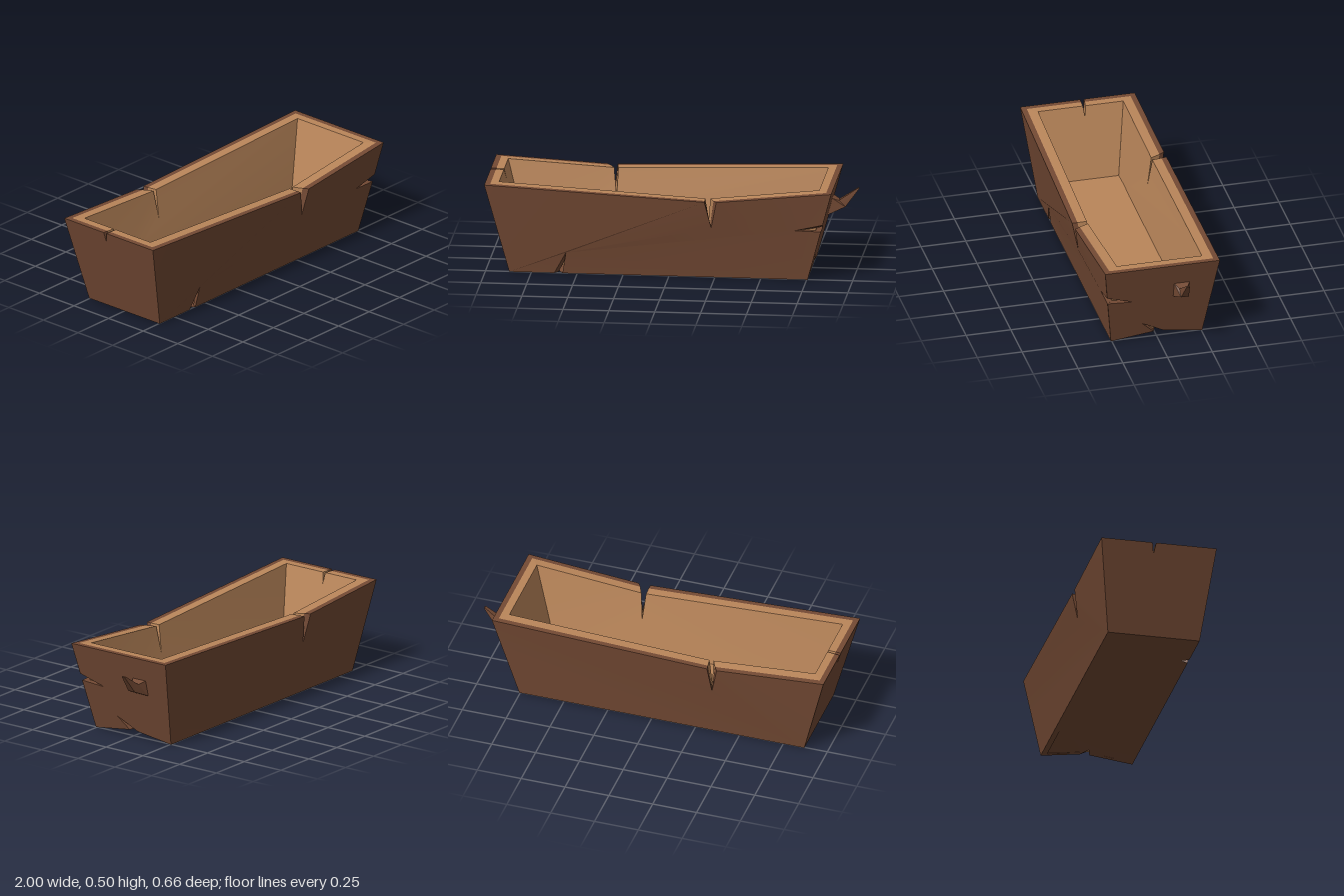
import * as THREE from 'three';
import { toCreasedNormals } from 'three/addons/utils/BufferGeometryUtils.js';

const bark = new THREE.MeshStandardMaterial({ color: 0x744a34, side: THREE.DoubleSide });
const wood = new THREE.MeshStandardMaterial({ color: 0xba865a, side: THREE.DoubleSide });

// Outer faces of the flared trough at height y
const left = y => -0.87 - 0.26 * y;
const right = y => 0.755 + 0.27 * y;
const half = y => 0.255 + 0.13 * y;
const FOOT = 0.04, FLOOR = 0.1;

// Inset of each layer boundary: outer face, bark to wood, inner face
const insetX = [0, 0.03, 0.073];
const insetZ = [0, 0.03, 0.082];
const crackWidth = [1, 0.75, 0.45];

// The split corner slopes inwards from its upper lip
const LIP = 0.32;
const lipHeight = (y, layer) => (layer > 0 && Math.abs(y - LIP) < 1e-4 ? 0.296 : y);

// Long sides swell outwards around their crack
function swell(x, y, peak, amount) {
  const k = x < peak ? (x + 1) / (peak + 1) : (0.89 - x) / (0.89 - peak);
  return amount * Math.max(0, k) * y / 0.44;
}

// Outline (s, y) and layer -> point on a long side (dir +1 front, -1 back)
const longSide = (dir, peak, amount) => (s, y, layer) => {
  // the rim crack narrows towards the inside
  const x = Math.abs(s - peak) < 0.04 ? peak + (s - peak) * crackWidth[layer] : s;
  const u = (x - left(y)) / (right(y) - left(y));
  const h = lipHeight(y, layer);
  const a = left(h) + insetX[layer], b = right(h) - insetX[layer];
  return [a + u * (b - a), h, dir * (half(h) - insetZ[layer] + swell(s, h, peak, amount))];
};

// Outline (s, y) and layer -> point on an end (dir +1 branch end, -1 plain end)
const endSide = dir => (s, y, layer) => {
  const h = lipHeight(y, layer);
  return [
    dir > 0 ? right(h) - insetX[layer] : left(h) + insetX[layer],
    h,
    s / half(y) * (half(h) - insetZ[layer])
  ];
};

const shapeOf = pts => new THREE.Shape(pts.map(p => new THREE.Vector2(p[0], p[1])));

function part(name, geo, material) {
  const mesh = new THREE.Mesh(toCreasedNormals(geo, 0.4), material);
  mesh.name = name;
  return mesh;
}

// Extrudes an outline between two layers and bends it onto its side
function slab(name, outline, place, layer, flip, material) {
  const geo = new THREE.ExtrudeGeometry(shapeOf(outline), { depth: 1, bevelEnabled: false });
  const p = geo.attributes.position;
  for (let i = 0; i < p.count; i++) {
    p.setXYZ(i, ...place(p.getX(i), p.getY(i), p.getZ(i) > 0.5 ? layer : layer + 1));
  }
  if (flip) {
    for (let i = 0; i < p.count; i += 3) {
      const a = [p.getX(i), p.getY(i), p.getZ(i)];
      p.setXYZ(i, p.getX(i + 1), p.getY(i + 1), p.getZ(i + 1));
      p.setXYZ(i + 1, ...a);
    }
  }
  return part(name, geo, material);
}

// A wall: bark with its surface cracks over plain wood
function wall(name, top, lower, place, lo, hi, flip) {
  const group = new THREE.Group();
  group.name = name;
  group.add(
    slab(name + 'Bark', [...top, ...lower], place, 0, flip, bark),
    slab(name + 'Wood', [...top, [hi(FOOT), FOOT], [lo(FOOT), FOOT]], place, 1, flip, wood)
  );
  return group;
}

// Broken branch lofted through square cross-sections
function branchStub() {
  // [bottom x, bottom y, top x, top y, half width]
  const rings = [
    [0.81, 0.28, 0.835, 0.37, 0.042],
    [0.835, 0.28, 0.858, 0.37, 0.042],
    [0.925, 0.32, 0.89, 0.355, 0.022],
    [1.0, 0.422, 0.994, 0.425, 0.009]
  ];
  const z = -0.116, pos = [], index = [];
  for (const [bx, by, tx, ty, w] of rings) {
    pos.push(bx, by, z + w, bx, by, z - w, tx, ty, z - w, tx, ty, z + w);
  }
  for (let r = 0; r < rings.length - 1; r++) {
    for (let k = 0; k < 4; k++) {
      const a = r * 4 + k, b = r * 4 + (k + 1) % 4;
      index.push(a, b, b + 4, a, b + 4, a + 4);
    }
  }
  const e = (rings.length - 1) * 4;
  index.push(e, e + 1, e + 2, e, e + 2, e + 3);
  const geo = new THREE.BufferGeometry();
  geo.setAttribute('position', new THREE.Float32BufferAttribute(pos, 3));
  geo.setIndex(index);
  return part('branchStub', geo, bark);
}

// Flat outline (x, z) facing down, raised where the end edge is worn away
function underside(name, pts) {
  const geo = new THREE.ShapeGeometry(shapeOf(pts));
  const p = geo.attributes.position;
  for (let i = 0; i < p.count; i++) {
    const x = p.getX(i), z = p.getY(i);
    p.setXYZ(i, x, x > 0.69 && Math.abs(z) < 0.1 ? 0.035 : 0, z);
  }
  return part(name, geo, bark);
}

export function createModel() {
  const model = new THREE.Group();
  model.name = 'woodenTrough';

  // Front: rim crack, split corner and a small crack at the foot
  model.add(wall('frontWall',
    [[-1, 0.5], [0.2, 0.44], [0.235, 0.29], [0.265, 0.44], [0.89, 0.5]],
    [[right(LIP), LIP], [0.69, 0.285], [right(0.28), 0.28], [right(0), 0],
      [-0.58, 0], [-0.56, 0.12], [-0.625, 0], [left(0), 0]],
    longSide(1, 0.235, 0.02), left, right, false));

  // Back: rim crack only
  model.add(wall('backWall',
    [[-1, 0.5], [-0.395, 0.463], [-0.36, 0.3], [-0.34, 0.463], [0.89, 0.5]],
    [[right(0), 0], [left(0), 0]],
    longSide(-1, -0.36, 0.016), left, right, true));

  // Branch end: split corner and a crack in the raised foot
  const minusHalf = y => -half(y);
  model.add(wall('branchEnd',
    [[-half(0.5), 0.5], [half(0.5), 0.5]],
    [[half(LIP), LIP], [0.145, 0.27], [half(0.28), 0.28], [half(0), 0],
      [0.018, 0.035], [0.09, 0.105], [-0.035, 0.035], [-half(0), 0]],
    endSide(1), minusHalf, half, true));

  // Plain end: short rim crack
  model.add(wall('plainEnd',
    [[-half(0.5), 0.5], [-0.036, 0.5], [-0.028, 0.44], [-0.016, 0.5], [half(0.5), 0.5]],
    [[half(0), 0], [-half(0), 0]],
    endSide(-1), minusHalf, half, false));

  // Inside floor, tucked slightly into the walls
  const a = left(FLOOR) + 0.055, b = right(FLOOR) - 0.055;
  const floor = part('insideFloor',
    new THREE.BoxGeometry(b - a, 0.04, 2 * (half(FLOOR) - 0.06)), wood);
  floor.position.set((a + b) / 2, FLOOR - 0.02, 0);
  model.add(floor);

  // Underside, notched by the foot cracks
  const w = half(0), seam = 0.4;
  model.add(
    underside('underside', [
      [left(0), -w], [seam, -w], [seam, w],
      [-0.58, w], [-0.6, w - 0.04], [-0.625, w], [left(0), w]]),
    underside('wornUndersideEnd', [
      [seam, -w], [right(0), -w], [0.764, -0.035], [0.7, 0],
      [0.764, 0.018], [right(0), w], [seam, w]])
  );

  model.add(branchStub());
  return model;
}
